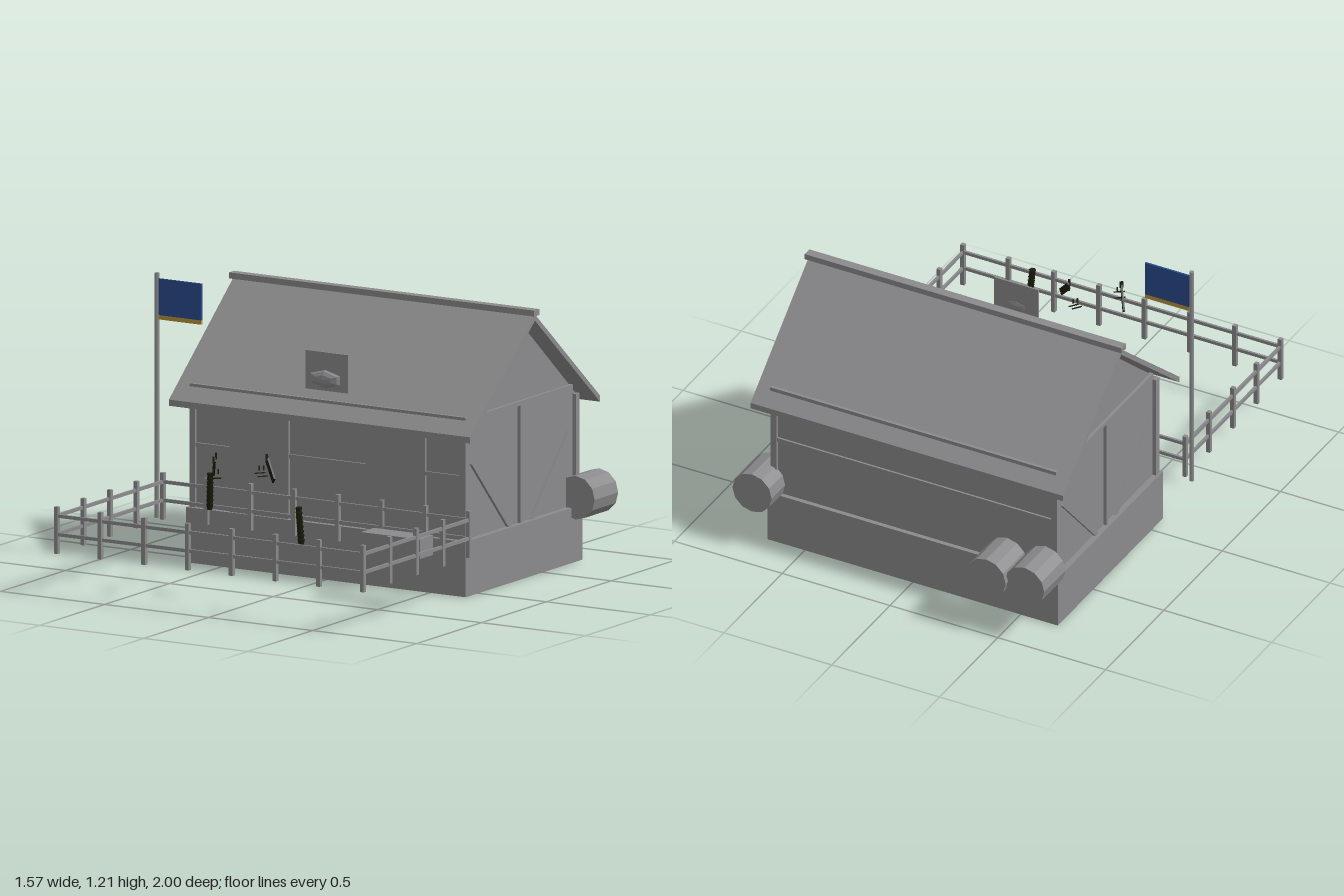
import * as THREE from 'three';

const mat = (name, color, extra = {}) => {
  const m = new THREE.MeshStandardMaterial({ color, ...extra });
  m.name = name;
  return m;
};

export function createModel() {
  const model = new THREE.Group();
  model.name = 'stable';
  const grey = mat('weathered grey', 0x8b8b8d, { flatShading: true });
  const blue = mat('flag blue', 0x2a4a8c);
  const gold = mat('flag gold', 0xb8923a);
  const dark = mat('dark olive', 0x1c1c0c);
  const up = new THREE.Vector3(0, 1, 0);

  const add = (parent, name, geo, material = grey) => {
    const mesh = new THREE.Mesh(geo, material);
    mesh.name = name;
    parent.add(mesh);
    return mesh;
  };
  const group = (name, parent = model) => {
    const g = new THREE.Group();
    g.name = name;
    parent.add(g);
    return g;
  };
  // Box given by its extents
  const box = (parent, name, x0, x1, y0, y1, z0, z1, material) => {
    const b = add(parent, name, new THREE.BoxGeometry(x1 - x0, y1 - y0, z1 - z0), material);
    b.position.set((x0 + x1) / 2, (y0 + y1) / 2, (z0 + z1) / 2);
    return b;
  };
  // Cross-section in (z, y) swept along x
  const sweep = (parent, name, pts, x0, x1) => {
    const shape = new THREE.Shape(pts.map(([z, y]) => new THREE.Vector2(-z, y)));
    const geo = new THREE.ExtrudeGeometry(shape, { depth: x1 - x0, bevelEnabled: false });
    geo.rotateY(Math.PI / 2).translate(x0, 0, 0);
    return add(parent, name, geo);
  };
  // Square beam between two points
  const beam = (parent, name, a, b, w) => {
    const p = new THREE.Vector3(...a), q = new THREE.Vector3(...b);
    const m = add(parent, name, new THREE.BoxGeometry(w, p.distanceTo(q), w));
    m.position.copy(p).add(q).multiplyScalar(0.5);
    m.quaternion.setFromUnitVectors(up, q.sub(p).normalize());
    return m;
  };

  // Foundation skirt, open underneath, with the floor above it
  const ZC = -0.355;
  const base = group('foundation');
  for (const s of [-1, 1]) {
    box(base, 'sideSkirt', s * 0.671 - 0.002, s * 0.671 + 0.002, 0, 0.23, -0.805, 0.097);
    const z = -0.354 + s * 0.449;
    box(base, 'longSkirt', -0.671, 0.671, 0, 0.23, z - 0.002, z + 0.002);
    // Joist ends showing below the floor
    for (const x of [-0.03, 0.03]) {
      box(base, 'joistEnd', x - 0.006, x + 0.006, 0.21, 0.225, ZC + s * 0.1 - 0.008, ZC + s * 0.1 + 0.008);
    }
  }
  box(base, 'floor', -0.671, 0.671, 0.222, 0.23, -0.803, 0.095);

  // Walls with gables
  sweep(model, 'walls', [[0.075, 0.23], [0.075, 0.7], [ZC, 1.07], [-0.785, 0.7], [-0.785, 0.23]], -0.647, 0.647);

  // Roof, ridge beam and rails above the eaves
  const roof = group('roof');
  sweep(roof, 'roofSlopes', [[0.145, 0.68], [ZC, 1.105], [-0.857, 0.68], [-0.857, 0.654],
    [ZC, 1.079], [0.145, 0.654]], -0.724, 0.724);
  box(roof, 'ridgeBeam', -0.735, 0.733, 1.1, 1.125, ZC - 0.02, ZC + 0.02);
  for (const z of [0.077, -0.795]) box(roof, 'eaveRail', -0.663, 0.663, 0.728, 0.744, z - 0.007, z + 0.007);

  // Timber framing
  const frame = group('timberFrame');
  for (const s of [-1, 1]) {
    const x = s * 0.65;
    for (const z of [0.07, -0.782]) {
      box(frame, 'cornerPost', x - 0.014, x + 0.014, 0.23, 0.695, z - 0.014, z + 0.014);
    }
    box(frame, 'gablePost', x - 0.01, x + 0.01, 0.23, 0.73, ZC - 0.009, ZC + 0.009);
    box(frame, 'tieBeam', x - 0.01, x + 0.01, 0.72, 0.738, -0.75, 0.04);
    for (const d of [-1, 1]) {
      beam(frame, 'brace', [x, 0.545, ZC + d * 0.375], [x, 0.222, ZC + d * 0.08], 0.018);
    }
  }
  for (const [z0, z1] of [[0.07, 0.084], [-0.794, -0.78]]) {
    box(frame, 'middleRail', -0.635, 0.635, 0.483, 0.5, z0, z1);
  }
  for (const s of [-1, 1]) {
    box(model, 'door', s * 0.3275 - 0.1425, s * 0.3275 + 0.1425, 0.23, 0.64, 0.074, 0.086);
  }

  // Sign board with a six-sided boss
  const sign = group('sign');
  box(sign, 'signBoard', -0.102, 0.102, 0.785, 0.945, 0.082, 0.09);
  const bossGeo = new THREE.SphereGeometry(1, 6, 6).rotateX(Math.PI / 2).rotateZ(Math.PI / 6);
  const boss = add(sign, 'signBoss', bossGeo);
  boss.scale.set(0.082, 0.038, 0.022);
  boss.position.set(0, 0.836, 0.1);

  // Flag on its pole
  const flag = group('flag');
  const pole = add(flag, 'flagPole', new THREE.CylinderGeometry(0.01, 0.01, 1.02, 8));
  pole.position.set(-0.775, 0.695, 0.155);
  box(flag, 'flagCloth', -0.765, -0.56, 1.03, 1.182, 0.1505, 0.1595, blue);
  box(flag, 'flagTrim', -0.765, -0.56, 1.012, 1.03, 0.1505, 0.1595, gold);

  // Paddock fence
  const fence = group('fence');
  const FX = 0.736, Z0 = 0.172, Z1 = 0.99;
  const post = (x, z) => box(fence, 'fencePost', x - 0.009, x + 0.009, 0.185, 0.38, z - 0.009, z + 0.009);
  for (let i = 0; i < 8; i++) for (const z of [Z0, Z1]) post(-FX + i * FX * 2 / 7, z);
  for (let i = 1; i < 4; i++) for (const x of [-FX, FX]) post(x, Z0 + i * 0.2045);
  for (const y of [0.265, 0.342]) {
    for (const z of [Z0, Z1]) box(fence, 'fenceRail', -FX, FX, y - 0.007, y + 0.007, z - 0.005, z + 0.005);
    for (const x of [-FX, FX]) box(fence, 'fenceRail', x - 0.005, x + 0.005, y - 0.007, y + 0.007, Z0, Z1);
  }

  // Trough and barrels lying on their sides
  box(model, 'trough', 0.349, 0.633, 0.205, 0.287, 0.285, 0.386);
  for (const [x, z] of [[0.693, -0.81], [-0.614, -0.89], [-0.446, -0.91]]) {
    const barrel = add(model, 'barrel', new THREE.CylinderGeometry(0.091, 0.091, 0.182, 12));
    barrel.rotation.x = Math.PI / 2;
    barrel.position.set(x, 0.275, z);
  }

  // Dark bristly stalks standing in the paddock
  for (const [a, b] of [
    [[-0.348, 0.325, 0.433], [-0.338, 0.455, 0.445]],
    [[0.352, 0.325, 0.85], [0.334, 0.455, 0.841]],
  ]) {
    const stalk = group('stalk');
    const p = new THREE.Vector3(...a), q = new THREE.Vector3(...b);
    for (let i = 0; i < 8; i++) {
      const tuft = add(stalk, 'tuft', new THREE.CylinderGeometry(0.015, 0.01, 0.026, 6), dark);
      tuft.position.lerpVectors(p, q, i / 7);
      tuft.rotation.y = i;
    }
  }

  // Flat slanting blades with forked tips and small loose slats
  for (const [a, b, c] of [
    [[-0.182, 0.525, 0.67], [-0.135, 0.6, 0.736], [-0.11, 0.527, 0.768]],
    [[0.113, 0.525, 0.677], [0.051, 0.6, 0.631], [0.008, 0.527, 0.605]],
  ]) {
    const blade = group('blade');
    const dx = b[0] - a[0], dz = b[2] - a[2], yaw = Math.atan2(-dz, dx);
    const len = Math.hypot(dx, dz);
    const body = group('bladeBody', blade);
    body.position.set((a[0] + b[0]) / 2, (a[1] + b[1]) / 2, (a[2] + b[2]) / 2);
    body.rotation.y = yaw;
    const stem = add(body, 'bladeStem', new THREE.BoxGeometry(Math.hypot(len, 0.075), 0.028, 0.008), dark);
    stem.rotation.z = Math.atan2(0.075, len);
    for (const s of [-1, 1]) {
      const prong = add(body, 'bladeProng', new THREE.BoxGeometry(0.007, 0.028, 0.008), dark);
      prong.position.set(len / 2 + s * 0.01, 0.041 - s * 0.006, s * 0.005);
    }
    const slats = group('slats', blade);
    slats.position.set(...c);
    slats.rotation.y = yaw;
    for (const s of [-1, 1]) {
      const slat = add(slats, 'slat', new THREE.BoxGeometry(0.004, 0.004, 0.045), dark);
      slat.position.set(s * 0.016, s * 0.004, 0);
      const peg = add(slats, 'peg', new THREE.BoxGeometry(0.004, 0.02, 0.005), dark);
      peg.position.set(0, 0.028, s * 0.01);
    }
  }
  return model;
}
